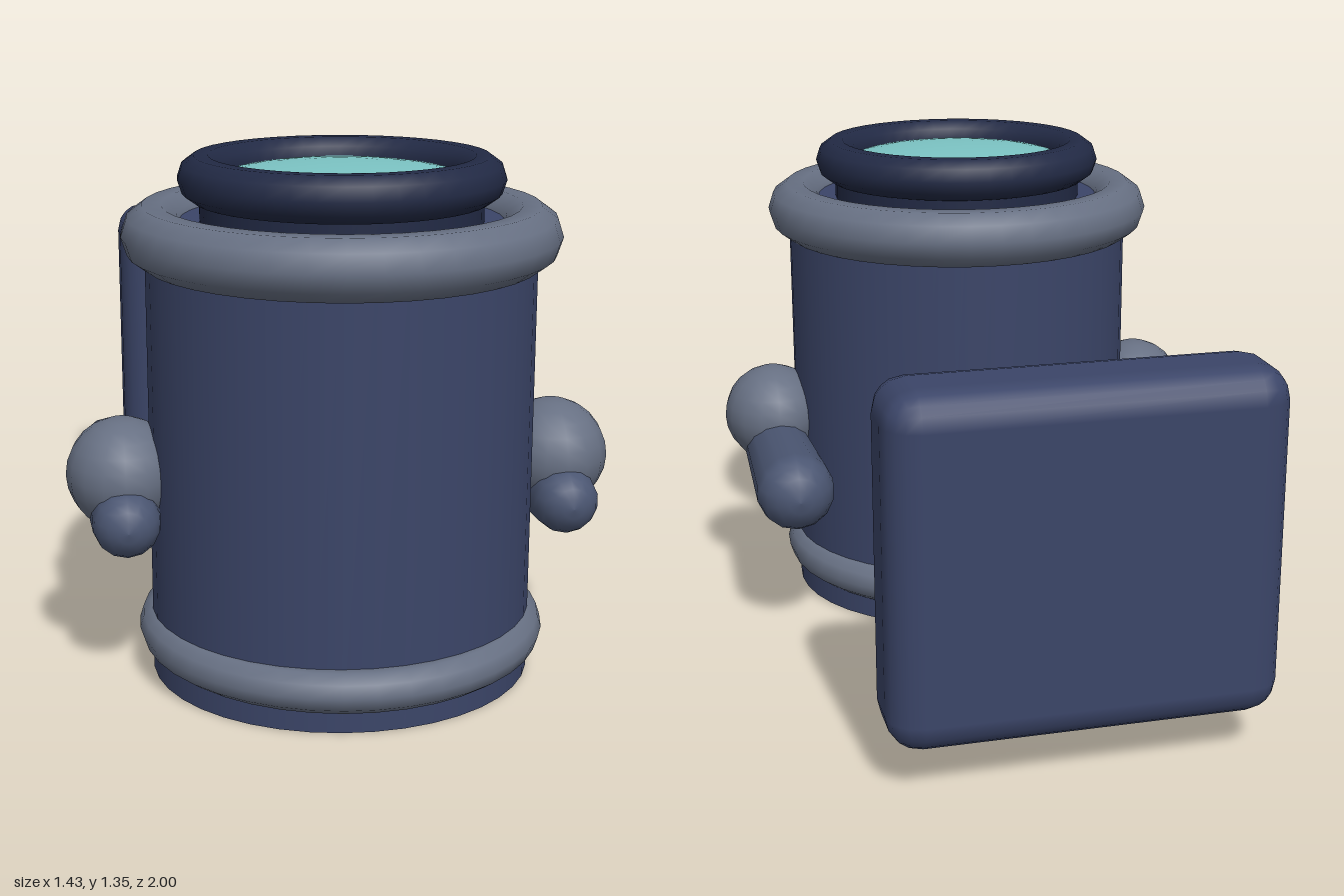
import * as THREE from 'three';
import { RoundedBoxGeometry } from 'three/addons/geometries/RoundedBoxGeometry.js';

const AXIS_Z = 0.437; // z of the drum's vertical axis

function part(parent, name, geometry, color, doubleSided = false) {
  const material = new THREE.MeshStandardMaterial({ color });
  if (doubleSided) material.side = THREE.DoubleSide;
  const mesh = new THREE.Mesh(geometry, material);
  mesh.name = name;
  parent.add(mesh);
  return mesh;
}

// Horizontal ring around the drum axis
function ring(parent, name, radius, tube, y, color) {
  const geometry = new THREE.TorusGeometry(radius, tube, 10, 40).rotateX(Math.PI / 2);
  part(parent, name, geometry, color).position.set(0, y, AXIS_Z);
}

// Capsule along z with a different radius at each end
function taperedPeg(r0, z0, r1, z1) {
  const pts = [];
  for (let i = 0; i <= 5; i++) {
    const a = (i / 5) * Math.PI / 2;
    pts.push(new THREE.Vector2(r0 * Math.sin(a), z0 - r0 * Math.cos(a)));
  }
  for (let i = 0; i <= 5; i++) {
    const a = (i / 5) * Math.PI / 2;
    pts.push(new THREE.Vector2(r1 * Math.cos(a), z1 + r1 * Math.sin(a)));
  }
  return new THREE.LatheGeometry(pts, 14).rotateX(Math.PI / 2);
}

export function createModel() {
  const model = new THREE.Group();
  model.name = 'mountedDrum';
  const blue = 0x3b4568, grey = 0x677083, dark = 0x222a45, slate = 0x4b5672;

  // Drum, open underneath, slightly narrower in depth
  const drum = part(model, 'drum', new THREE.CylinderGeometry(0.5, 0.5, 1.2, 40, 1, true), blue, true);
  drum.position.set(0, 0.6, AXIS_Z);
  drum.scale.z = 0.945;
  const lid = part(model, 'drumLid', new THREE.CircleGeometry(0.5, 40).rotateX(-Math.PI / 2), blue, true);
  lid.position.set(0, 1.19, AXIS_Z);
  lid.scale.z = 0.945;

  // Rings
  ring(model, 'lowerRing', 0.48, 0.055, 0.115, grey);
  ring(model, 'upperRing', 0.48, 0.079, 1.157, grey);
  ring(model, 'lensRim', 0.355, 0.06, 1.297, dark);

  // Lens and the neck it sits on
  const neck = part(model, 'lensNeck', new THREE.CylinderGeometry(0.36, 0.36, 0.09, 40, 1, true), dark, true);
  neck.position.set(0, 1.235, AXIS_Z);
  const dome = new THREE.SphereGeometry(0.34, 32, 8, 0, Math.PI * 2, 0, Math.PI / 2).scale(1, 0.15, 1);
  part(model, 'lens', dome, 0x7cc4c4, true).position.set(0, 1.28, AXIS_Z);

  // Flared arm reaching back to the wall plate
  const flare = [[0.155, -0.1], [0.155, 0.05], [0.15, 0.4], [0.165, 0.6], [0.185, 0.76]]
    .map(([r, d]) => new THREE.Vector2(r, d));
  const arm = part(model, 'arm', new THREE.LatheGeometry(flare, 14).rotateX(-Math.PI / 2), slate, true);
  arm.position.y = 0.593;

  // Wall plate
  const plate = part(model, 'wallPlate', new RoundedBoxGeometry(0.99, 0.9, 0.27, 2, 0.085), blue);
  plate.position.set(0, 0.57, -0.865);

  // Side pegs with knobs
  for (const side of [-1, 1]) {
    const handle = new THREE.Group();
    handle.name = side > 0 ? 'leftHandle' : 'rightHandle';
    handle.position.x = side * 0.57;
    part(handle, 'peg', taperedPeg(0.11, 0, 0.087, 0.575), slate).position.y = 0.455;
    const knob = part(handle, 'knob', new THREE.SphereGeometry(0.145, 16, 12), grey);
    knob.position.set(0, 0.547, 0.44);
    knob.scale.z = 1.1;
    model.add(handle);
  }
  return model;
}
